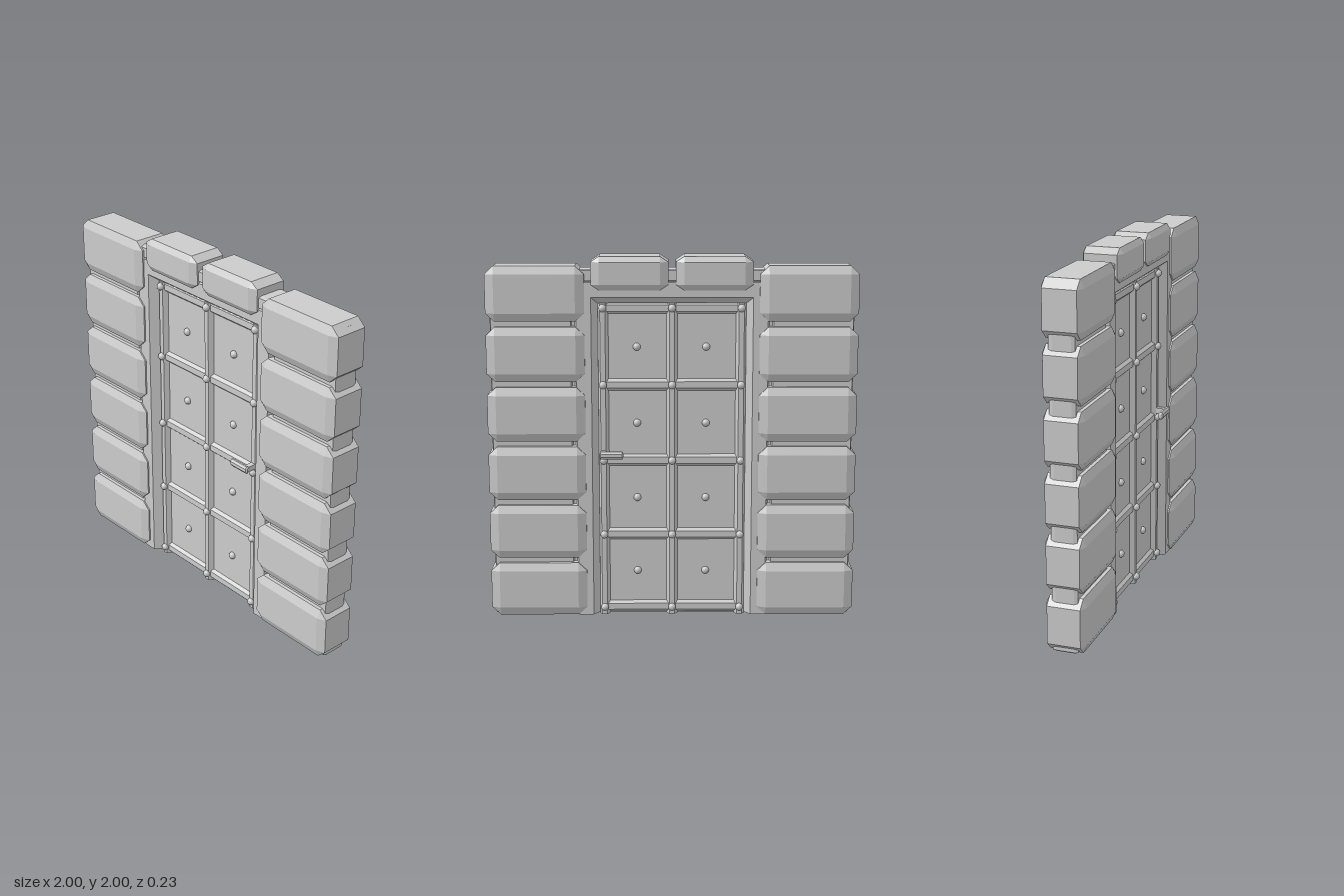
import * as THREE from 'three';
import { ConvexGeometry } from 'three/addons/geometries/ConvexGeometry.js';

const mat = new THREE.MeshStandardMaterial({ color: 0xcccccc, flatShading: true });
const smooth = new THREE.MeshStandardMaterial({ color: 0xcccccc });

function add(parent, name, geometry, x = 0, y = 0, z = 0, material = mat) {
  const mesh = new THREE.Mesh(geometry, material);
  mesh.name = name;
  mesh.position.set(x, y, z);
  parent.add(mesh);
  return mesh;
}

// Box with every edge chamfered: bx, by, bz are the cuts along each axis
function chamferBox(w, h, d, bx, by, bz) {
  const pts = [];
  const X = w / 2, Y = h / 2, Z = d / 2;
  for (const i of [-1, 1]) for (const j of [-1, 1]) for (const k of [-1, 1]) {
    pts.push(new THREE.Vector3(i * X, j * (Y - by), k * (Z - bz)));
    pts.push(new THREE.Vector3(i * (X - bx), j * Y, k * (Z - bz)));
    pts.push(new THREE.Vector3(i * (X - bx), j * (Y - by), k * Z));
  }
  return new ConvexGeometry(pts);
}

// Bar along y with a trapezoid ridge on both faces
function ridgedBar(width, flat, depth, length) {
  const pts = [];
  for (const y of [-length / 2, length / 2]) for (const sx of [-1, 1]) for (const sz of [-1, 1]) {
    pts.push(new THREE.Vector3(sx * width / 2, y, sz * 0.018));
    pts.push(new THREE.Vector3(sx * flat / 2, y, sz * depth / 2));
  }
  return new ConvexGeometry(pts);
}

// Mitred door surround: a profile of (outward offset, z) carried up, across and down
function surroundGeometry() {
  const profile = [[0, -0.035], [0, 0.035], [0.035, 0.082], [0.115, 0.082],
    [0.125, 0.05], [0.125, -0.05], [0.115, -0.082], [0.035, -0.082]];
  const n = profile.length;
  const stations = [[-1, 0], [-1, 1], [1, 1], [1, 0]];
  const pos = [], index = [];
  for (const [side, top] of stations) {
    for (const [o, z] of profile) {
      pos.push(side * (0.4 + o), top ? 1.745 + o : 0.012, z);
    }
  }
  for (let s = 0; s < 3; s++) {
    for (let i = 0; i < n; i++) {
      const a = s * n + i, b = s * n + (i + 1) % n;
      index.push(a, a + n, b, b, a + n, b + n);
    }
  }
  for (let i = 1; i < n - 1; i++) {
    index.push(0, i, i + 1);
    index.push(3 * n, 3 * n + i + 1, 3 * n + i);
  }
  const g = new THREE.BufferGeometry();
  g.setAttribute('position', new THREE.Float32BufferAttribute(pos, 3));
  g.setIndex(index);
  const flat = g.toNonIndexed();
  flat.computeVertexNormals();
  return flat;
}

export function createModel() {
  const model = new THREE.Group();
  model.name = 'stoneDoorway';

  // Stone blocks in two side columns and over the door
  const stones = new THREE.Group();
  stones.name = 'stones';
  model.add(stones);
  const sideStone = chamferBox(0.53, 0.298, 0.22, 0.048, 0.045, 0.02);
  const topStone = chamferBox(0.415, 0.18, 0.22, 0.045, 0.03, 0.02);
  for (const side of [-1, 1]) {
    for (let i = 0; i < 6; i++) {
      add(stones, 'sideStone', sideStone, side * 0.735, 0.164 + i * 0.3275, 0);
    }
    add(stones, 'topStone', topStone, side * 0.2275, 1.91, 0);
  }

  // Mortar core behind the stones, with a narrow groove beside the surround
  const core = new THREE.Group();
  core.name = 'wallCore';
  model.add(core);
  const sideCore = chamferBox(0.44, 1.915, 0.14, 0.006, 0.006, 0.02);
  for (const side of [-1, 1]) {
    add(core, 'sideCore', sideCore, side * 0.76, 0.9725, 0);
    add(core, 'groove', new THREE.BoxGeometry(0.06, 1.87, 0.09), side * 0.53, 0.95, 0);
  }
  add(core, 'topCore', chamferBox(1.1, 0.066, 0.16, 0.015, 0.006, 0.02), 0, 1.897, 0);

  add(model, 'doorSurround', surroundGeometry());

  // Door leaf with ridged stiles and rails
  const door = new THREE.Group();
  door.name = 'door';
  model.add(door);
  add(door, 'panel', new THREE.BoxGeometry(0.8, 1.74, 0.036), 0, 0.877, 0);
  const stileX = [-0.375, 0, 0.375];
  const rowY = [0, 1, 2, 3, 4].map((i) => 0.043 + i * 0.419);
  const stile = ridgedBar(0.06, 0.028, 0.09, 1.745);
  const rail = ridgedBar(0.065, 0.035, 0.07, 0.77);
  for (const x of stileX) add(door, 'stile', stile, x, 0.8745, 0);
  for (const y of rowY) add(door, 'rail', rail, 0, y, 0).rotation.z = Math.PI / 2;

  // Studs at the crossings and panel centres, and a handle, on both faces
  const stud = new THREE.SphereGeometry(0.021, 12, 8);
  for (const face of [-1, 1]) {
    for (const y of rowY) {
      for (const x of stileX) add(door, 'stud', stud, x, y, face * 0.046, smooth);
    }
    for (let i = 0; i < 4; i++) {
      for (const x of [-0.185, 0.191]) add(door, 'panelStud', stud, x, 0.25 + i * 0.419, face * 0.02, smooth);
    }
    const handle = new THREE.Group();
    handle.name = 'handle';
    door.add(handle);
    add(handle, 'handleStem', new THREE.BoxGeometry(0.03, 0.03, 0.08), 0.375, 0.922, face * 0.06);
    add(handle, 'handleBar', chamferBox(0.13, 0.042, 0.028, 0.006, 0.012, 0.009), 0.33, 0.922, face * 0.1);
  }
  return model;
}
